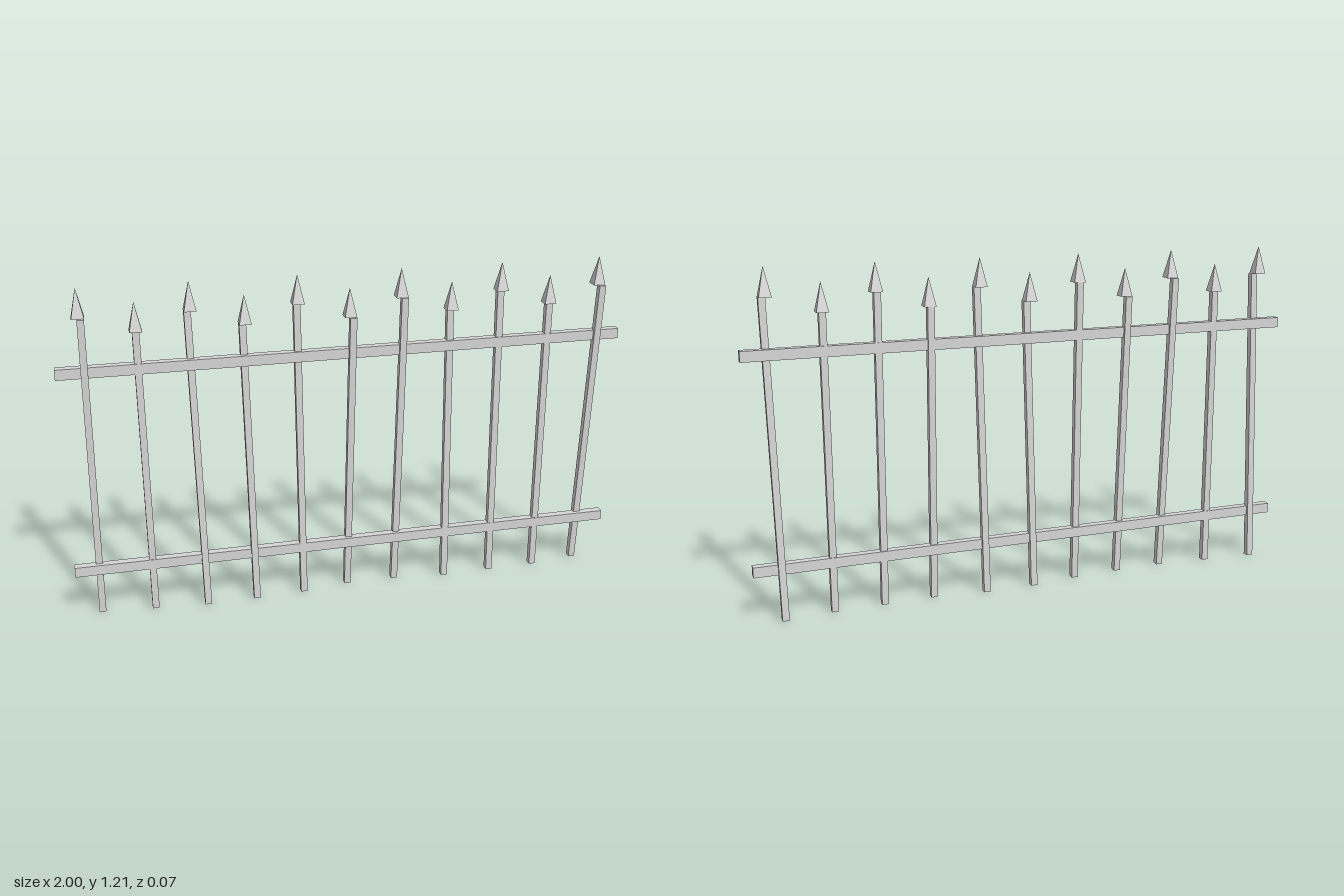
import * as THREE from 'three';

export function createModel() {
  const fence = new THREE.Group();
  fence.name = 'fence';
  const iron = new THREE.MeshStandardMaterial({ color: 0xd6d6d6 });
  iron.name = 'light grey iron';

  function add(name, geometry, x, y) {
    const mesh = new THREE.Mesh(geometry, iron);
    mesh.name = name;
    mesh.position.set(x, y, 0);
    fence.add(mesh);
    return mesh;
  }

  // Two horizontal rails
  add('lowerRail', new THREE.BoxGeometry(2, 0.037, 0.029), 0, 0.182);
  add('upperRail', new THREE.BoxGeometry(2, 0.037, 0.029), 0, 0.922);

  // Sideways and forward offset of each picket's top end, relative to its middle
  const leans = [
    [0.008, 0.019], [0, 0], [-0.008, -0.018], [-0.007, -0.015], [-0.003, -0.006],
    [0.008, 0.017], [0.008, 0.016], [-0.003, -0.006], [-0.003, -0.002], [0, 0], [0.008, 0.021],
  ];

  // Four-sided spear tip, faces square to the fence
  const tip = new THREE.ConeGeometry(0.03, 0.1, 4).rotateY(Math.PI / 4).toNonIndexed();
  tip.computeVertexNormals();

  // Alternating tall and short pickets, slightly crooked, with upright tips
  leans.forEach(([dx, dz], i) => {
    const x = (i - 5) * 0.1818;
    const height = i % 2 ? 1.052 : 1.11;
    const picket = add('picket' + (i + 1), new THREE.BoxGeometry(0.024, height, 0.024), x, height / 2);
    picket.rotation.set(Math.atan(dz / (height / 2)), 0, -Math.atan(dx / (height / 2)));
    add('spearTip' + (i + 1), tip, x, height + 0.05);
  });

  return fence;
}
